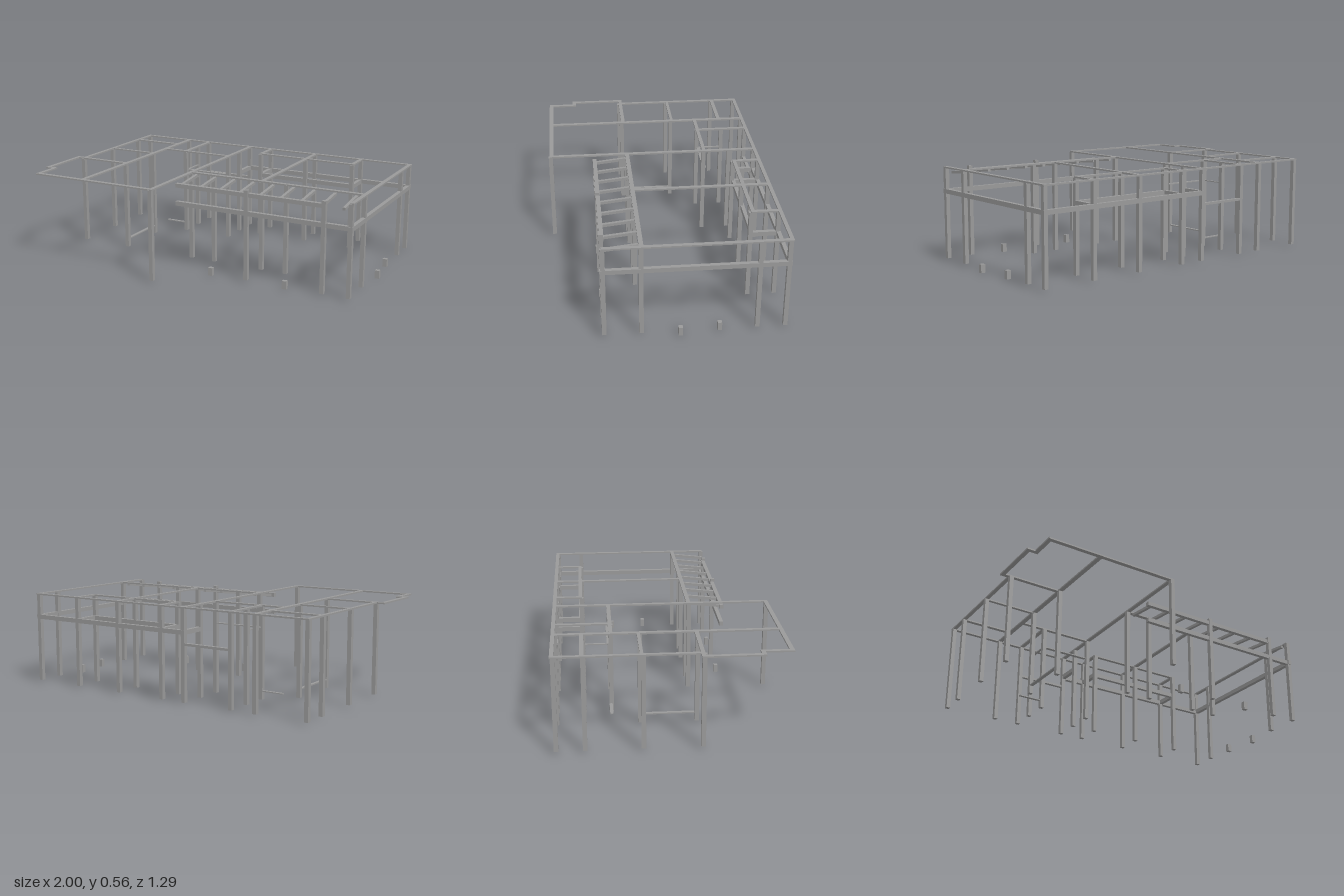
import * as THREE from 'three';

export function createModel() {
  const model = new THREE.Group();
  const steel = new THREE.MeshStandardMaterial({ color: 0x999999 });
  steel.name = 'grey';

  // Box given by its extents on each axis
  function box(name, x0, x1, y0, y1, z0, z1) {
    const mesh = new THREE.Mesh(new THREE.BoxGeometry(x1 - x0, y1 - y0, z1 - z0), steel);
    mesh.name = name;
    mesh.position.set((x0 + x1) / 2, (y0 + y1) / 2, (z0 + z1) / 2);
    model.add(mesh);
    return mesh;
  }

  // Posts: each row is a depth with the x positions standing on it
  const rows = [
    [-0.63, [-0.94, -0.62, -0.463, -0.146, 0.011, 0.33, 0.646, 0.963]],
    [-0.474, [-0.94, -0.463, -0.146, 0.011, 0.33, 0.646, 0.963]],
    [-0.315, [-0.463, -0.146]],
    [-0.158, [-0.94, -0.62]],
    [0.165, [-0.94, -0.62, -0.146, 0.011, 0.33, 0.488, 0.963]],
    [0.368, [0.33, 0.805, 0.963]],
    [0.632, [-0.146]],
  ];
  for (const [z, xs] of rows) {
    for (const x of xs) box('post', x - 0.012, x + 0.012, 0.013, 0.552, z - 0.0125, z + 0.0125);
  }

  // Flat top plates outlining the walls: [x0, x1, z0, z1]
  const plates = [
    [-0.952, 0.977, -0.647, -0.625],
    [0.953, 0.977, -0.625, 0.375],
    [-0.952, -0.93, -0.625, 0.144],
    [-0.633, -0.607, -0.625, 0.615],
    [-0.158, -0.134, -0.625, 0.615],
    [0.318, 0.342, -0.625, 0.15],
    [-0.475, -0.452, -0.625, -0.33],
    [-0.93, -0.633, -0.492, -0.468],
    [-0.93, -0.633, -0.176, -0.157],
    [-1, -0.633, 0.144, 0.167],
    [-0.607, -0.158, -0.33, -0.308],
    [-0.134, 0.953, 0.15, 0.175],
    [-1, -0.976, 0.167, 0.483],
    [-0.976, -0.928, 0.46, 0.483],
    [-0.952, -0.928, 0.483, 0.615],
    [-0.952, -0.134, 0.615, 0.64],
    [0, 0.023, -0.625, -0.472],
    [0.635, 0.658, -0.625, -0.472],
    [0.023, 0.635, -0.494, -0.472],
  ];
  for (const [x0, x1, z0, z1] of plates) box('topPlate', x0, x1, 0.55, 0.559, z0, z1);

  // Middle beams around the larger wing and its back bay
  const beams = [
    [-0.157, 0.977, -0.645, -0.622],
    [0.953, 0.977, -0.622, 0.385],
    [-0.134, 0.953, 0.354, 0.377],
    [0, 0.658, -0.494, -0.472],
    [0, 0.023, -0.622, -0.494],
    [0.635, 0.658, -0.622, -0.494],
    [-0.157, -0.134, -0.622, -0.475],
  ];
  for (const [x0, x1, z0, z1] of beams) box('middleBeam', x0, x1, 0.401, 0.427, z0, z1);

  // Porch header with sloping rafters
  box('porchHeader', -0.135, 0.817, 0.511, 0.535, 0.352, 0.376);
  const rise = 0.022, run = 0.2;
  for (let i = 0; i < 9; i++) {
    const x = -0.105 + i * 0.128;
    const rafter = box('rafter', x - 0.009, x + 0.009, 0.523, 0.539, 0.17, 0.17 + run);
    rafter.rotation.x = Math.atan2(rise, run);
  }

  // Window sills, door rails and thresholds
  box('backSill', -0.452, -0.158, 0.34, 0.354, -0.642, -0.622);
  box('innerRail', -0.452, -0.158, 0.428, 0.434, -0.337, -0.315);
  box('innerRail', -0.463, -0.45, 0.428, 0.434, -0.465, -0.325);
  box('threshold', -0.61, -0.474, 0.06, 0.066, -0.328, -0.31);
  box('threshold', -0.63, -0.61, 0.06, 0.067, -0.165, 0.153);

  // Small footing blocks
  for (const [x, z] of [[0.098, 0.368], [0.577, 0.368], [0.985, -0.048], [0.957, -0.267]]) {
    box('footingBlock', x - 0.0135, x + 0.0135, 0, 0.049, z - 0.012, z + 0.012);
  }
  return model;
}
